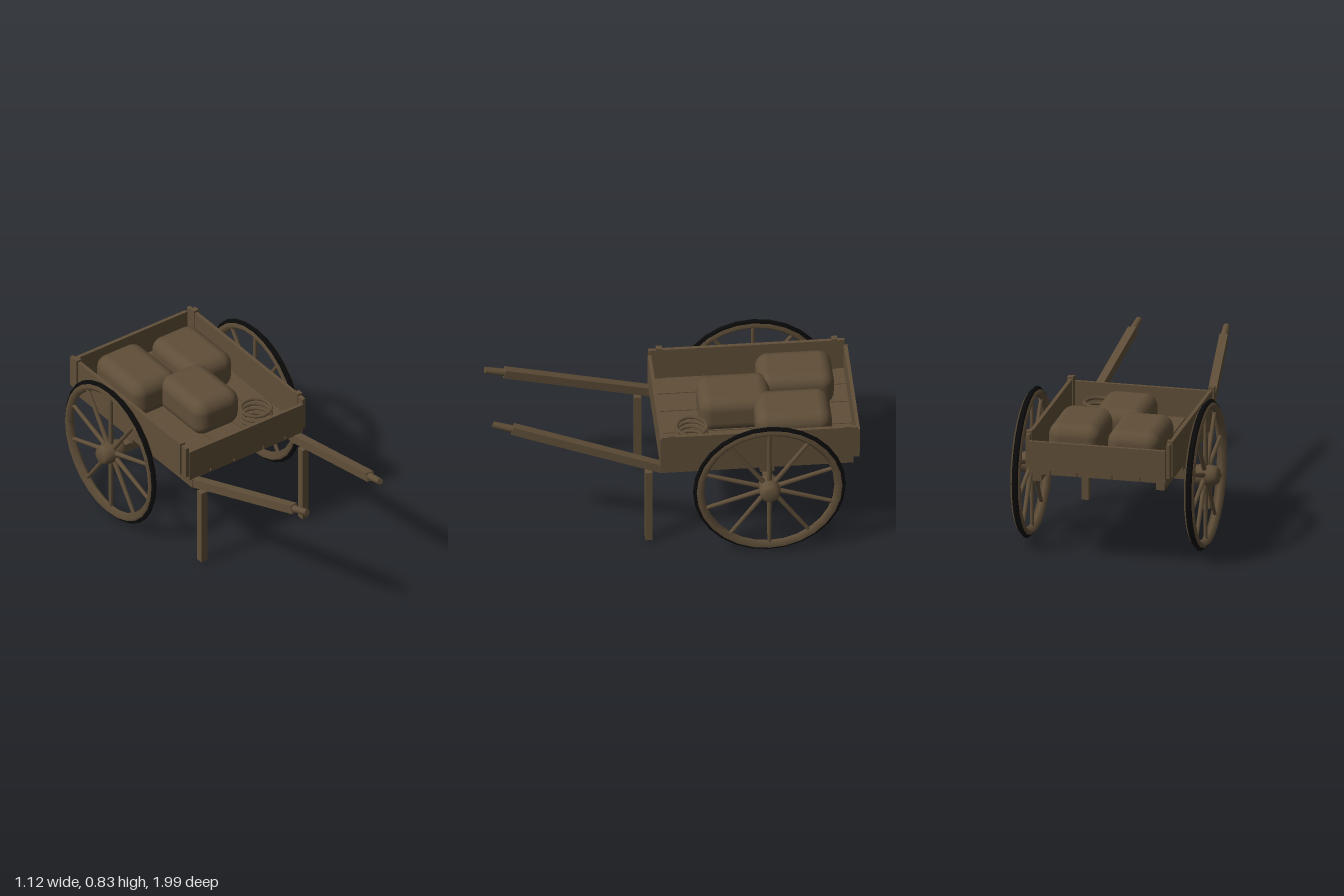
import * as THREE from 'three';
import { RoundedBoxGeometry } from 'three/addons/geometries/RoundedBoxGeometry.js';

export function createModel() {
  const cart = new THREE.Group();
  cart.name = 'handCart';
  const wood = new THREE.MeshStandardMaterial({ color: 0x5f4e38 });
  wood.name = 'brownWood';
  const iron = new THREE.MeshStandardMaterial({ color: 0x0b0b0b });
  iron.name = 'blackIron';

  const add = (name, geo, x, y, z, parent = cart, mat = wood) => {
    const m = new THREE.Mesh(geo, mat);
    m.name = name;
    m.position.set(x, y, z);
    parent.add(m);
    return m;
  };
  // box given by its min and max on each axis
  const box = (name, x0, x1, y0, y1, z0, z1) =>
    add(name, new THREE.BoxGeometry(x1 - x0, y1 - y0, z1 - z0),
      (x0 + x1) / 2, (y0 + y1) / 2, (z0 + z1) / 2);
  // points a part's local z axis from a to b
  const span = (name, makeGeo, a, b) => {
    const mid = a.clone().add(b).multiplyScalar(0.5);
    const m = add(name, makeGeo(a.distanceTo(b)), mid.x, mid.y, mid.z);
    m.lookAt(b);
    return m;
  };

  const back = -0.99, front = 0.095;

  // floor planks with narrow gaps
  const seams = [-0.385, -0.24, -0.083, 0.113, 0.26, 0.385];
  for (let i = 0; i < 5; i++)
    box('floorPlank', seams[i] + 0.003, seams[i + 1] - 0.003, 0.52, 0.545, back, front);

  // end boards
  box('frontBoard', -0.381, 0.381, 0.545, 0.706, front - 0.02, front);
  box('rearBoard', -0.381, 0.381, 0.545, 0.706, back - 0.005, back + 0.015);

  // axle
  box('axle', -0.43, 0.43, 0.392, 0.442, -0.515, -0.465);

  const hubProfile = [[0, -0.076], [0.038, -0.076], [0.052, -0.06], [0.058, -0.035], [0.059, 0],
    [0.058, 0.035], [0.052, 0.06], [0.038, 0.076], [0, 0.076]].map(p => new THREE.Vector2(...p));

  for (const s of [-1, 1]) {
    // side board and its stakes
    const side = (name, a, b, ...rest) => box(name, Math.min(s * a, s * b), Math.max(s * a, s * b), ...rest);
    side('sideBoard', 0.382, 0.402, 0.545, 0.735, back + 0.01, front - 0.005);
    for (const z of [-0.925, 0.032])
      side('sideStake', 0.378, 0.41, 0.545, 0.747, z - 0.016, z + 0.016);

    // under-floor rail, axle block and leg
    side('rail', 0.32, 0.368, 0.47, 0.52, -0.96, 0.1);
    side('axleBlock', 0.32, 0.368, 0.44, 0.47, -0.53, -0.45);
    side('leg', 0.319, 0.36, 0.01, 0.468, 0.135, 0.175);

    // pulling shaft with a round grip
    const a = new THREE.Vector3(s * 0.345, 0.494, 0.085);
    const b = new THREE.Vector3(s * 0.255, 0.742, 0.89);
    const c = new THREE.Vector3(s * 0.245, 0.772, 0.995);
    span('shaft', l => new THREE.BoxGeometry(0.046, 0.05, l), a, b);
    span('grip', l => new THREE.CylinderGeometry(0.018, 0.021, l, 10).rotateX(Math.PI / 2), b, c);

    // wheel
    const wheel = new THREE.Group();
    wheel.name = s > 0 ? 'leftWheel' : 'rightWheel';
    wheel.position.set(s * 0.485, 0.417, -0.49);
    cart.add(wheel);
    const ring = (R, t) => new THREE.TorusGeometry(R, t, 4, 28).rotateY(Math.PI / 2);
    add('rim', ring(0.384, 0.029), 0, 0, 0, wheel);
    add('ironTyre', ring(0.4, 0.017), 0, 0, 0, wheel, iron);
    add('hub', new THREE.LatheGeometry(hubProfile, 16).rotateZ(Math.PI / 2), 0, 0, 0, wheel);
    for (let i = 0; i < 10; i++) {
      const spoke = new THREE.CylinderGeometry(0.011, 0.014, 0.33, 8);
      spoke.translate(0, 0.205, 0).rotateX(i * Math.PI / 5);
      add('spoke', spoke, 0, 0, 0, wheel);
    }
  }

  // cargo sacks
  const sacks = [[-0.17, -0.687, 0.295, 0.415], [0.17, -0.645, 0.295, 0.415], [0, -0.34, 0.295, 0.4]];
  for (const [x, z, w, d] of sacks)
    add('sack', new RoundedBoxGeometry(w, 0.215, d, 4, 0.07), x, 0.6525, z);

  // coil of rope
  for (let i = 0; i < 4; i++)
    add('ropeCoil', new THREE.TorusGeometry(0.083, 0.009, 6, 24).rotateX(Math.PI / 2),
      0.203, 0.555 + i * 0.032, -0.093);

  return cart;
}
